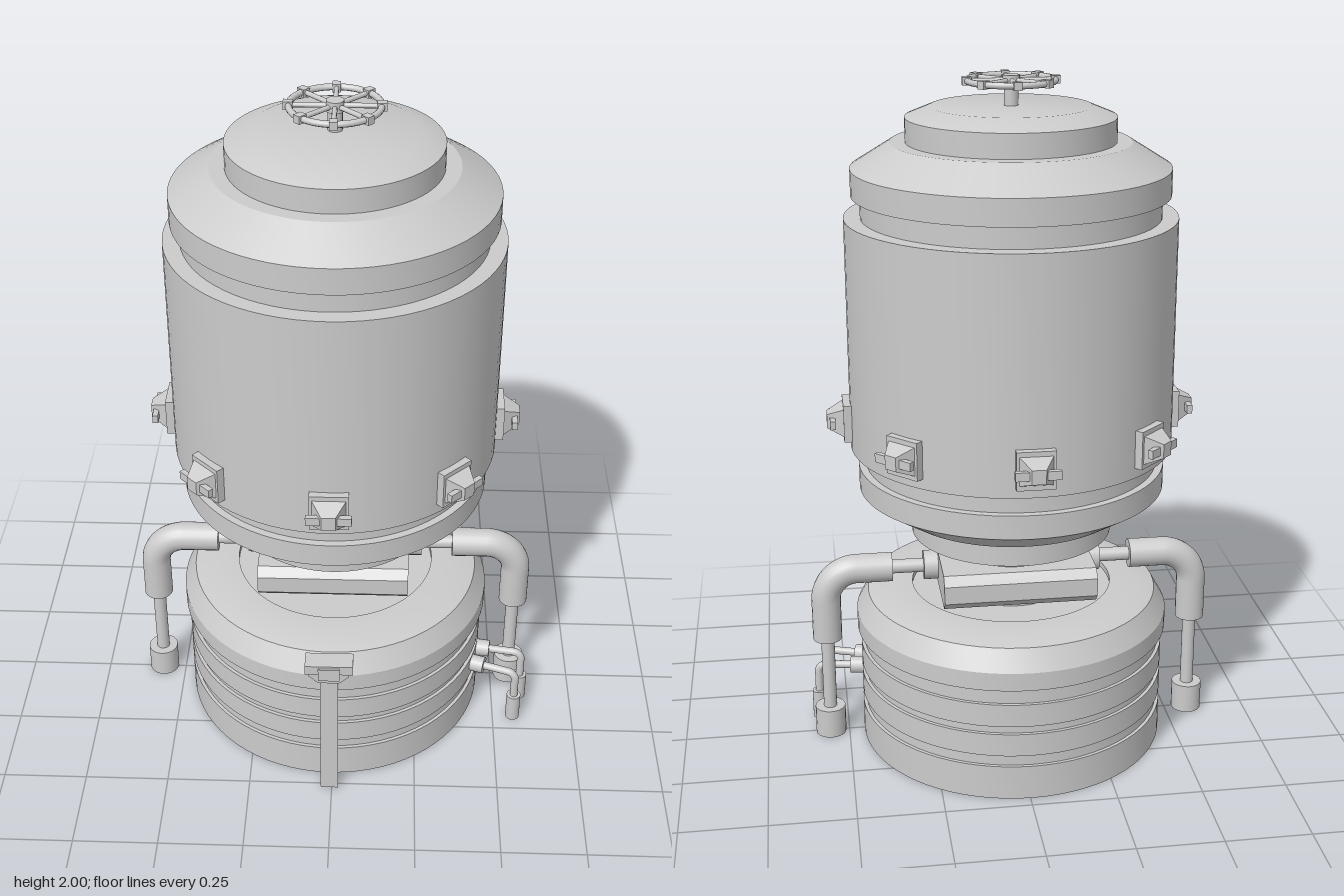
import * as THREE from 'three';
import { toCreasedNormals } from 'three/addons/utils/BufferGeometryUtils.js';

const material = new THREE.MeshStandardMaterial({ color: 0xcccccc });
const V = (x, y, z = 0) => new THREE.Vector3(x, y, z);

function add(parent, name, geometry, x = 0, y = 0, z = 0) {
  const mesh = new THREE.Mesh(geometry, material);
  mesh.name = name;
  mesh.position.set(x, y, z);
  parent.add(mesh);
  return mesh;
}

function group(parent, name, angle = 0) {
  const g = new THREE.Group();
  g.name = name;
  g.rotation.y = angle;
  parent.add(g);
  return g;
}

// Turned part with sharp creases; profile runs from bottom to top
function turned(profile) {
  const points = profile.map(([r, y]) => new THREE.Vector2(r, y));
  return toCreasedNormals(new THREE.LatheGeometry(points, 72), 0.4);
}

const box = (w, h, d) => new THREE.BoxGeometry(w, h, d);
const rod = (r, length, sides = 20) => new THREE.CylinderGeometry(r, r, length, sides);
const rodX = (r, length, sides = 20) => rod(r, length, sides).rotateZ(Math.PI / 2);

// Box whose +z face is scaled down
function taperedBox(w, h, d, sx, sy) {
  const g = box(w, h, d).toNonIndexed();
  const p = g.attributes.position;
  for (let i = 0; i < p.count; i++) {
    if (p.getZ(i) > 0) p.setXY(i, p.getX(i) * sx, p.getY(i) * sy);
  }
  g.computeVertexNormals();
  return g;
}

function prism(corners, depth) {
  const shape = new THREE.Shape(corners.map(([x, y]) => new THREE.Vector2(x, y)));
  return new THREE.ExtrudeGeometry(shape, { depth, bevelEnabled: false }).translate(0, 0, -depth / 2);
}

// Pipe running out along +x, then bending down
function elbow(x0, x1, yTop, yEnd, bend, radius) {
  const path = new THREE.CurvePath();
  const k = bend * 0.448;
  path.add(new THREE.LineCurve3(V(x0, yTop), V(x1 - bend, yTop)));
  path.add(new THREE.CubicBezierCurve3(
    V(x1 - bend, yTop), V(x1 - k, yTop), V(x1, yTop - k), V(x1, yTop - bend)));
  path.add(new THREE.LineCurve3(V(x1, yTop - bend), V(x1, yEnd)));
  return new THREE.TubeGeometry(path, 48, radius, 20);
}

export function createModel() {
  const model = new THREE.Group();
  model.name = 'tank';
  const core = group(model, 'core');
  core.position.set(-0.007, 0, -0.004);

  // Ribbed base drum
  add(core, 'base', turned([
    [0, 0], [0.46, 0], [0.46, 0.105], [0.45, 0.105], [0.45, 0.14], [0.46, 0.14],
    [0.46, 0.21], [0.45, 0.21], [0.45, 0.235], [0.46, 0.235], [0.46, 0.305],
    [0.45, 0.305], [0.45, 0.355], [0.47, 0.355], [0.47, 0.41], [0.435, 0.472],
    [0.375, 0.487], [0.3, 0.487], [0.3, 0.47], [0, 0.47]]));

  // Neck, stepped vessel and domed lid
  add(core, 'vessel', turned([
    [0.165, 0.47], [0.165, 0.635], [0.235, 0.635], [0.297, 0.66], [0.297, 0.74],
    [0.342, 0.74], [0.45, 0.81], [0.45, 0.88], [0.428, 0.88], [0.428, 0.94],
    [0.472, 0.94], [0.472, 1.612], [0.425, 1.612], [0.425, 1.675], [0.45, 1.675],
    [0.45, 1.75], [0.338, 1.82], [0.295, 1.82], [0.295, 1.888], [0.225, 1.917], [0, 1.917]]));

  // Chamfered valve block between base and vessel
  const w = 0.227, h = 0.052, c = 0.025;
  add(core, 'valveBlock', prism([
    [-w + c, -h], [w - c, -h], [w, -h + c], [w, h - c],
    [w - c, h], [-w + c, h], [-w, h - c], [-w, -h + c]], 0.45).rotateY(Math.PI / 2), 0, 0.545);

  // Side pipes, one to each side
  for (const angle of [0, Math.PI]) {
    const pipe = group(core, 'sidePipe', angle);
    add(pipe, 'pipeCollar', rodX(0.044, 0.045), 0.245, 0.545);
    add(pipe, 'pipeStub', rodX(0.021, 0.16), 0.31, 0.545);
    add(pipe, 'pipeElbow', elbow(0.365, 0.563, 0.545, 0.325, 0.095, 0.044));
    add(pipe, 'elbowEnd', rodX(0.044, 0.01), 0.367, 0.545);
    add(pipe, 'elbowEnd', rod(0.044, 0.01), 0.563, 0.326);
    add(pipe, 'downPipe', rod(0.02, 0.32), 0.563, 0.2);
    add(pipe, 'pipeFoot', rod(0.046, 0.09), 0.563, 0.045);
  }

  // Two small drain taps on the left side
  for (const degrees of [9.5, 18.8]) {
    const tap = group(core, 'drainTap', -THREE.MathUtils.degToRad(degrees));
    add(tap, 'tapCollar', rodX(0.026, 0.05, 16), 0.475, 0.18);
    add(tap, 'tapPipe', elbow(0.46, 0.602, 0.18, 0.05, 0.025, 0.012));
    add(tap, 'tapFoot', rod(0.022, 0.09, 16), 0.602, 0.045);
  }

  // Eight clamps round the vessel
  for (let i = 0; i < 8; i++) {
    const clamp = group(core, 'clamp', i * Math.PI / 4);
    add(clamp, 'clampPlate', box(0.108, 0.11, 0.05), 0, 1.025, 0.467);
    add(clamp, 'clampHead', taperedBox(0.092, 0.082, 0.047, 0.42, 0.5), 0, 1.025, 0.5155);
    add(clamp, 'clampBar', box(0.125, 0.025, 0.016), 0, 1.025, 0.523);
  }

  // Front gauge post
  const post = group(core, 'gaugePost');
  add(post, 'postShaft', box(0.052, 0.46, 0.024), 0, 0.23, 0.508);
  add(post, 'postHead', prism([
    [-0.03, 0.44], [0.03, 0.44], [0.058, 0.465], [0.058, 0.48], [-0.058, 0.48], [-0.058, 0.465]],
    0.045), 0, 0, 0.508);
  add(post, 'postCap', box(0.138, 0.03, 0.058), 0, 0.491, 0.505);
  add(post, 'postGauge', box(0.062, 0.042, 0.03), 0, 0.478, 0.525);

  // Handwheel on the lid
  const wheel = group(core, 'handwheel');
  add(wheel, 'wheelStem', rod(0.02, 0.08), 0, 1.95);
  add(wheel, 'wheelHub', rod(0.024, 0.03), 0, 1.985);
  add(wheel, 'wheelRim', new THREE.TorusGeometry(0.122, 0.009, 10, 48).rotateX(Math.PI / 2), 0, 1.985);
  for (let i = 0; i < 8; i++) {
    const arm = group(wheel, 'wheelArm', i * Math.PI / 4);
    add(arm, 'wheelSpoke', rodX(0.007, 0.11, 10), 0.068, 1.985);
    add(arm, 'wheelGrip', box(0.026, 0.022, 0.022), 0.123, 1.985);
  }
  return model;
}
